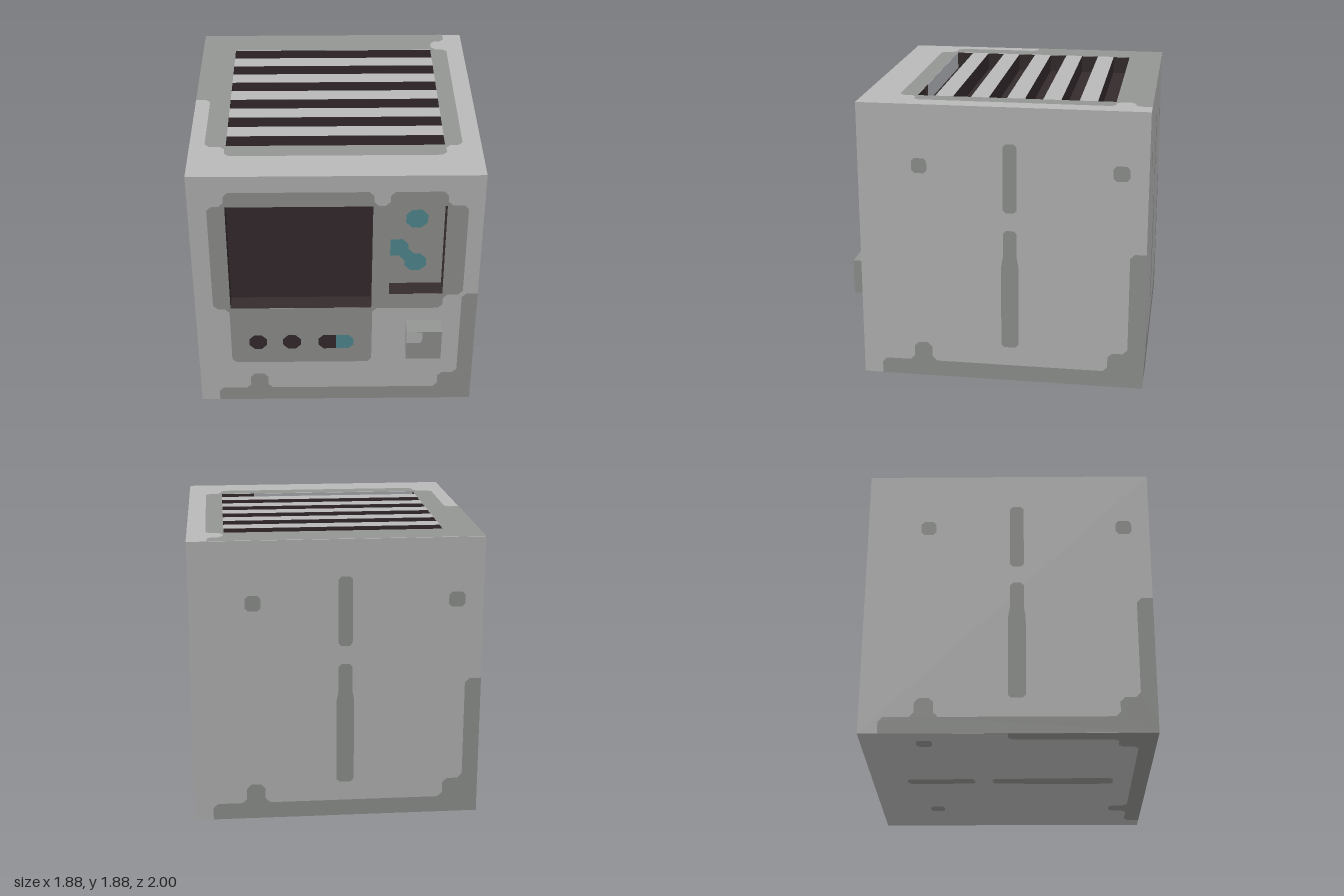
import * as THREE from 'three';

const mat = (name, color) => {
  const m = new THREE.MeshStandardMaterial({ color });
  m.name = name;
  return m;
};

const P = 0.1175; // depth of every recess
const H = 0.94; // half of the cube
const LIFT = 0.002;

// Outline with cut corners; a third value of 0 keeps that corner sharp
function outline(pts, cut) {
  const out = [];
  pts.forEach(([x, y, soft = 1], i) => {
    const p = new THREE.Vector2(x, y);
    if (!cut || !soft) return out.push(p);
    for (const j of [i + pts.length - 1, i + 1]) {
      const q = pts[j % pts.length];
      const d = new THREE.Vector2(q[0] - x, q[1] - y);
      out.push(p.clone().add(d.setLength(Math.min(cut, d.length() * 0.45))));
    }
  });
  return out;
}

const rect = (x0, y0, x1, y1) => [[x0, y0], [x1, y0], [x1, y1], [x0, y1]];

// Flat plate on a face, in that face's own coordinates
function plate(parent, name, pts, material, { z = LIFT, cut = 0.03, holes = [] } = {}) {
  const shape = new THREE.Shape(outline(pts, cut));
  holes.forEach((h) => shape.holes.push(new THREE.Path(outline(h, 0))));
  const mesh = new THREE.Mesh(new THREE.ShapeGeometry(shape), material);
  mesh.name = name;
  mesh.position.z = z;
  parent.add(mesh);
  return mesh;
}

// Inward-facing pocket sunk behind a face
function recess(parent, name, [x0, y0, x1, y1], wallMat, floorMat, skipLower = false) {
  const g = new THREE.Group();
  g.name = name;
  const w = x1 - x0, h = y1 - y0, cx = (x0 + x1) / 2, cy = (y0 + y1) / 2, q = Math.PI / 2;
  const add = (part, pw, ph, pos, rx, ry, m) => {
    const mesh = new THREE.Mesh(new THREE.PlaneGeometry(pw, ph), m);
    mesh.name = name + part;
    mesh.position.set(...pos);
    mesh.rotation.set(rx, ry, 0);
    g.add(mesh);
  };
  add('Floor', w, h, [cx, cy, -P], 0, 0, floorMat);
  add('WallA', P, h, [x0, cy, -P / 2], 0, q, wallMat);
  add('WallB', P, h, [x1, cy, -P / 2], 0, -q, wallMat);
  add('WallUpper', w, P, [cx, y1, -P / 2], q, 0, wallMat);
  if (!skipLower) add('WallLower', w, P, [cx, y0, -P / 2], -q, 0, wallMat);
  parent.add(g);
}

export function createModel() {
  const light = mat('lightGrey', 0xb8b8b8);
  const grey = mat('midGrey', 0x939592);
  const dark = mat('darkBrown', 0x352b2d);
  const teal = mat('teal', 0x528c92);

  const model = new THREE.Group();
  model.name = 'machineCube';
  const face = (name, pos, rot) => {
    const g = new THREE.Group();
    g.name = name;
    g.position.set(...pos);
    g.rotation.set(...rot);
    model.add(g);
    return g;
  };

  // Worn lower edge and corner, shared by the front, sides and underside
  const edgeWear = [
    [-0.815, 0, 0], [-0.815, 0.11], [-0.592, 0.11], [-0.592, 0.24], [-0.47, 0.24], [-0.47, 0.11],
    [0.705, 0.11], [0.705, 0.24], [0.835, 0.24], [0.835, 0.94], [0.94, 0.94, 0], [0.94, 0, 0],
  ];
  const seam = [
    [-0.002, 0.24], [-0.002, 0.83], [0.01, 0.86], [0.01, 1.06], [0.1, 1.06], [0.1, 0.86],
    [0.112, 0.83], [0.112, 0.24],
  ];

  // Plain faces
  const plain = [
    ['sideLeft', [H, 0, -0.06], [0, Math.PI / 2, 0]],
    ['back', [0, 0, -1], [0, Math.PI, 0]],
    ['sideRight', [-H, 0, -0.06], [0, -Math.PI / 2, 0]],
    ['underside', [0, 0, 0.88], [Math.PI / 2, 0, Math.PI]],
  ];
  for (const [name, pos, rot] of plain) {
    const f = face(name, pos, rot);
    plate(f, name + 'Wall', rect(-H, 0, H, 1.88), light, { z: 0, cut: 0 });
    plate(f, 'edgeWear', edgeWear, grey);
    plate(f, 'lowerSeam', seam, grey, { cut: 0.02 });
    plate(f, 'upperSeam', rect(0.008, 1.18, 0.1, 1.64), grey, { cut: 0.02 });
    plate(f, 'rivet', rect(-0.585, 1.425, -0.485, 1.525), grey, { cut: 0.02 });
    plate(f, 'rivet', rect(0.715, 1.425, 0.82, 1.525), grey, { cut: 0.02 });
  }

  // Front with screen and control recesses
  const front = face('front', [0, 0, 0.88], [0, 0, 0]);
  const screen = [-0.705, 0.825, 0.235, 1.65];
  const panel = [0.35, 0.94, 0.705, 1.65];
  const frontHoles = [rect(...screen), rect(...panel)];
  plate(front, 'frontWall', rect(-H, 0, H, 1.88), light, { z: 0, cut: 0, holes: frontHoles });
  plate(front, 'edgeWear', edgeWear, grey);
  plate(front, 'frontSurround', [
    [-0.82, 0.82], [-0.82, 1.655], [-0.712, 1.655], [-0.712, 1.76], [0.24, 1.76], [0.24, 1.655],
    [0.345, 1.655], [0.345, 1.76], [0.708, 1.76], [0.708, 1.655], [0.84, 1.655], [0.84, 0.933],
    [0.71, 0.933], [0.71, 0.82], [0.242, 0.82], [0.242, 0.347], [-0.713, 0.347], [-0.713, 0.82],
  ], grey, { holes: frontHoles });
  recess(front, 'screen', screen, dark, dark);
  recess(front, 'controlPanel', panel, dark, grey);

  // Panel lights
  const deep = { z: -P + LIFT, cut: 0.04 };
  plate(front, 'panelLight', rect(0.455, 1.4, 0.597, 1.54), teal, deep);
  plate(front, 'panelLight', [
    [0.352, 1.17, 0], [0.352, 1.305, 0], [0.477, 1.305], [0.477, 1.187], [0.597, 1.187],
    [0.597, 1.05], [0.455, 1.05], [0.455, 1.17],
  ], teal, deep);

  // Row of buttons
  const over = { z: 2 * LIFT, cut: 0.035 };
  for (const x of [-0.59, -0.36]) plate(front, 'button', rect(x, 0.47, x + 0.12, 0.59), dark, over);
  for (const [x, edge, m] of [[-0.12, 0, dark], [0.12, 0, teal]])
    plate(front, 'splitButton', [[x, 0.47], [edge, 0.47, 0], [edge, 0.59, 0], [x, 0.59]], m, over);

  // Protruding knob
  const knob = new THREE.Mesh(new THREE.BoxGeometry(0.235, 0.235, 0.12), grey);
  knob.name = 'knob';
  knob.position.set(0.5875, 0.59, 0.06);
  front.add(knob);
  plate(front, 'knobHighlight', [[0.47, 0.613, 0], [0.575, 0.613], [0.575, 0.707, 0], [0.47, 0.707, 0]],
    light, { z: 0.12 + LIFT, cut: 0.02 });

  // Top with vent (second coordinate runs toward the back)
  const top = face('top', [0, 1.88, 0], [-Math.PI / 2, 0, 0]);
  const vent = [-0.705, -0.525, 0.705, 0.767];
  plate(top, 'topWall', rect(-H, -0.88, H, 1), light, { z: 0, cut: 0, holes: [rect(...vent)] });
  plate(top, 'topSurround', [
    [-0.94, 1, 0], [0.81, 1, 0], [0.81, 0.895], [0.712, 0.895], [0.712, 0.772], [0.82, 0.772],
    [0.82, -0.53], [0.71, -0.53], [0.71, -0.645], [-0.712, -0.645], [-0.712, -0.535],
    [-0.842, -0.535], [-0.842, 0.062], [-0.94, 0.062, 0],
  ], grey, { holes: [rect(...vent)] });
  recess(top, 'vent', vent, dark, dark, true);

  // Vent slats: dark sides, light tops
  for (let i = 0; i < 5; i++) {
    const y = 0.767 - (1.5 + 2 * i) * P;
    const slat = new THREE.Mesh(new THREE.BoxGeometry(1.41, P, P), dark);
    slat.name = 'ventSlat';
    slat.position.set(0, y, -P / 2);
    top.add(slat);
    plate(top, 'ventSlatTop', rect(-0.705, y - P / 2, 0.705, y + P / 2), light, { cut: 0 });
  }

  // Partial front lip of the vent
  const lip = new THREE.Mesh(new THREE.PlaneGeometry(0.235, P), dark);
  lip.name = 'ventLip';
  lip.position.set(0.5875, -0.525, -P / 2);
  lip.rotation.x = -Math.PI / 2;
  top.add(lip);

  return model;
}
